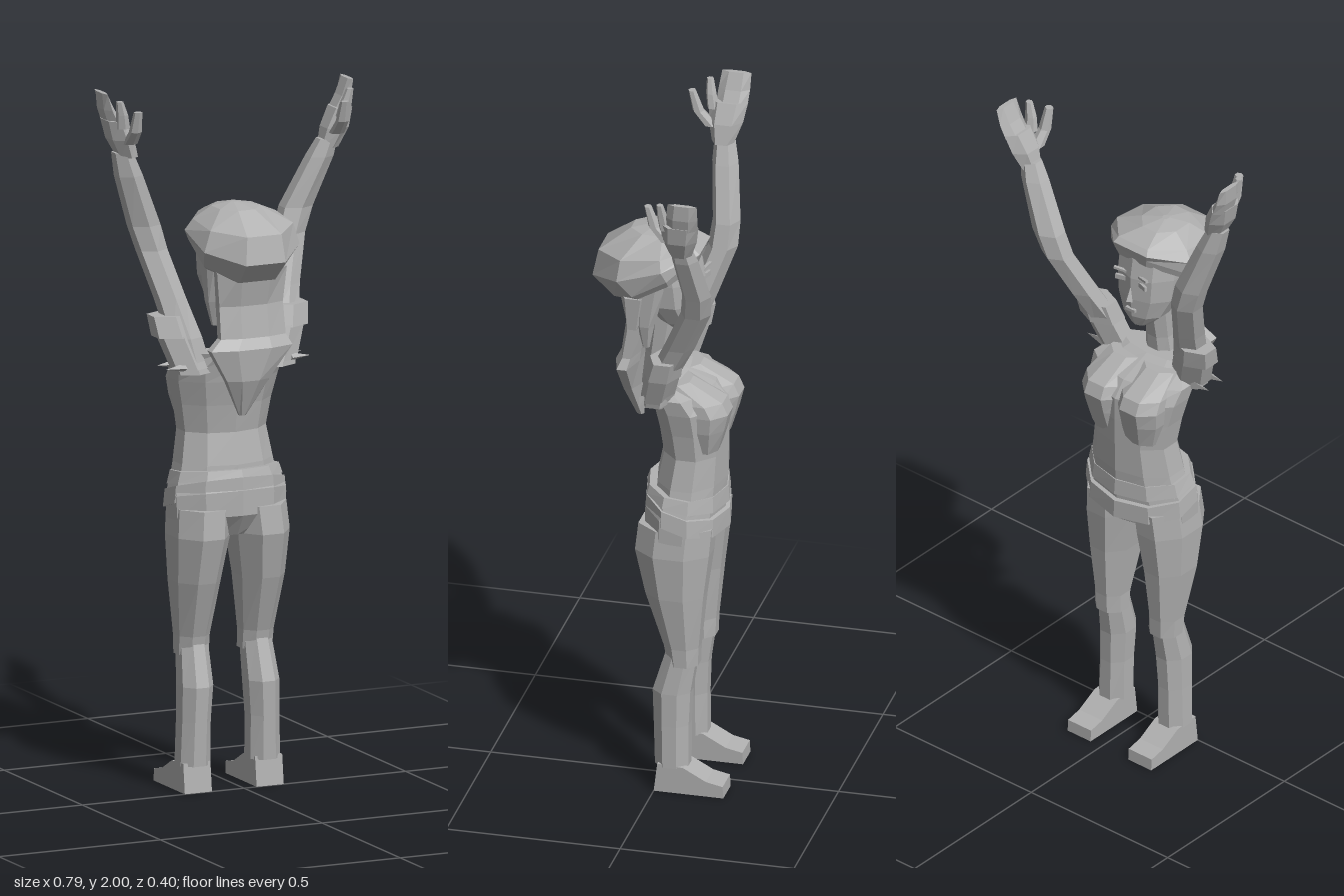
import * as THREE from 'three';

const grey = new THREE.MeshStandardMaterial({ color: 0xb0b0b0, flatShading: true, side: THREE.DoubleSide });
grey.name = 'clay grey';

// Closed faceted loft. Each ring: [x, y, z, rx, rz, slope], listed bottom to top;
// slope tilts the ring so that y changes along z. Radii are the true half extents (n is even).
function loftGeometry(rings, n = 8) {
  const pos = [];
  const kx = 1 / Math.cos(Math.PI / n), kz = n % 4 ? 1 : kx;
  const pt = (r, i) => {
    const a = ((i + 0.5) / n) * Math.PI * 2;
    const dz = Math.sin(a) * r[4] * kz;
    return [r[0] + Math.cos(a) * r[3] * kx, r[1] + dz * (r[5] || 0), r[2] + dz];
  };
  for (let k = 0; k < rings.length - 1; k++) {
    for (let i = 0; i < n; i++) {
      const a = pt(rings[k], i), b = pt(rings[k], i + 1);
      const c = pt(rings[k + 1], i), d = pt(rings[k + 1], i + 1);
      pos.push(...a, ...c, ...b, ...b, ...c, ...d);
    }
  }
  const lo = rings[0], hi = rings[rings.length - 1];
  for (let i = 0; i < n; i++) {
    pos.push(...lo.slice(0, 3), ...pt(lo, i), ...pt(lo, i + 1));
    pos.push(...hi.slice(0, 3), ...pt(hi, i + 1), ...pt(hi, i));
  }
  const g = new THREE.BufferGeometry();
  g.setAttribute('position', new THREE.Float32BufferAttribute(pos, 3));
  g.computeVertexNormals();
  return g;
}

export function createModel() {
  const model = new THREE.Group();
  const CX = -0.03; // body centre line
  const add = (name, geo, x = 0, y = 0, z = 0) => {
    const m = new THREE.Mesh(geo, grey);
    m.name = name;
    m.position.set(x, y, z);
    model.add(m);
    return m;
  };
  const loft = (name, rings, n) => add(name, loftGeometry(rings, n));

  // Torso, with narrow waist and sloping shoulders
  loft('torso', [
    [CX, 0.86, -0.07, 0.155, 0.1],
    [CX, 0.93, -0.075, 0.14, 0.1],
    [CX, 1.02, -0.085, 0.125, 0.092],
    [CX, 1.1, -0.08, 0.138, 0.098],
    [CX, 1.17, -0.072, 0.154, 0.105],
    [CX, 1.215, -0.05, 0.16, 0.09],
    [CX, 1.255, 0.005, 0.11, 0.045],
  ], 10);

  // Hips and pelvis
  loft('pelvis', [
    [CX, 0.73, -0.05, 0.075, 0.07],
    [CX, 0.775, -0.05, 0.168, 0.108, 0.15],
    [CX, 0.84, -0.055, 0.17, 0.113, 0.2],
    [CX, 0.89, -0.065, 0.155, 0.105, 0.2],
  ], 10);

  // Two slanted belts, lower at the belly
  loft('lowerBelt', [
    [CX, 0.815, -0.062, 0.173, 0.12, 0.32],
    [CX, 0.865, -0.062, 0.168, 0.118, 0.3],
  ], 10);
  loft('upperBelt', [
    [CX, 0.875, -0.062, 0.162, 0.118, 0.2],
    [CX, 0.91, -0.064, 0.152, 0.112, 0.1],
  ], 10);

  for (const s of [-1, 1]) {
    const side = s > 0 ? 'left' : 'right';
    const X = (d) => CX + s * d;

    // Bust, blending into chest
    loft(side + 'Bust', [
      [X(0.055), 1.04, -0.13, 0.055, 0.035], [X(0.062), 1.11, -0.13, 0.068, 0.056],
      [X(0.064), 1.16, -0.13, 0.072, 0.068], [X(0.064), 1.195, -0.11, 0.07, 0.072],
      [X(0.06), 1.245, -0.04, 0.055, 0.045],
    ]);

    // Trouser leg: shin with flared hem, knee fold, thigh
    loft(side + 'Shin', [
      [X(0.108), 0.075, -0.045, 0.046, 0.048],
      [X(0.106), 0.2, -0.043, 0.044, 0.05],
      [X(0.102), 0.3, -0.043, 0.047, 0.054],
      [X(0.098), 0.42, -0.07, 0.041, 0.045],
    ]);
    loft(side + 'Thigh', [
      [X(0.098), 0.385, -0.074, 0.046, 0.044],
      [X(0.099), 0.44, -0.07, 0.047, 0.05],
      [X(0.099), 0.6, -0.052, 0.066, 0.083],
      [X(0.092), 0.73, -0.045, 0.08, 0.106],
      [X(0.085), 0.81, -0.052, 0.08, 0.105],
    ]);

    // Wedge shoe, toe pointing to -z
    const sole = new THREE.Shape();
    [[0, 0], [0.2, 0], [0.198, 0.035], [0.15, 0.045], [0.085, 0.08], [0.01, 0.085]]
      .forEach(([a, b], i) => (i ? sole.lineTo(a, b) : sole.moveTo(a, b)));
    const shoe = new THREE.ExtrudeGeometry(sole, { depth: 0.084, bevelEnabled: false });
    shoe.translate(0, 0, -0.042).rotateY(Math.PI / 2);
    add(side + 'Shoe', shoe, X(0.111), 0, 0);

    // Raised arm; the two sides differ slightly in pose
    loft(side + 'Arm', s > 0 ? [
      [0.1, 1.2, -0.005, 0.05, 0.045], [0.13, 1.3, -0.03, 0.045, 0.042],
      [0.163, 1.41, -0.085, 0.04, 0.044], [0.208, 1.54, -0.143, 0.04, 0.043],
      [0.233, 1.61, -0.152, 0.043, 0.042], [0.298, 1.75, -0.135, 0.035, 0.038],
      [0.318, 1.8, -0.128, 0.027, 0.029],
    ] : [
      [-0.155, 1.2, -0.005, 0.05, 0.045], [-0.175, 1.3, -0.02, 0.045, 0.042],
      [-0.202, 1.41, -0.06, 0.04, 0.044], [-0.235, 1.54, -0.108, 0.04, 0.043],
      [-0.256, 1.61, -0.113, 0.043, 0.04], [-0.312, 1.76, -0.095, 0.036, 0.038],
      [-0.335, 1.83, -0.088, 0.027, 0.029],
    ], 6);

    // Short sleeve with turned-up cuff and pointed scraps
    const sx = s > 0 ? 0.118 : -0.178;
    loft(side + 'Sleeve', [
      [sx - s * 0.015, 1.215, -0.005, 0.052, 0.047],
      [sx + s * 0.018, 1.31, -0.03, 0.052, 0.05],
    ], 6);
    loft(side + 'Cuff', [
      [sx + s * 0.022, 1.305, -0.03, 0.06, 0.053],
      [sx + s * 0.034, 1.365, -0.045, 0.056, 0.048],
    ], 6);
    for (const z of [0.025, -0.035]) {
      const scrap = add(side + 'SleeveScrap', new THREE.ConeGeometry(0.014, 0.06, 3), sx + s * 0.045, 1.222, z);
      scrap.rotation.z = -s * Math.PI / 2;
    }

    // Hand: palm, joined fingers, forefinger, thumb
    const oy = s > 0 ? 0 : 0.04, oz = s > 0 ? 0 : 0.042;
    const hand = (name, rings) => loft(side + name,
      rings.map(([x, y, z, a, b]) => [s * x, y + oy, z + oz, a, b]), 6);
    hand('Palm', [
      [0.32, 1.775, -0.128, 0.026, 0.032], [0.342, 1.83, -0.13, 0.033, 0.05],
      [0.362, 1.885, -0.135, 0.025, 0.055],
    ]);
    hand('Fingers', [
      [0.36, 1.875, -0.143, 0.022, 0.045], [0.378, 1.915, -0.146, 0.016, 0.045],
      [0.39, 1.962, -0.15, 0.007, 0.042],
    ]);
    hand('Forefinger', [
      [0.35, 1.865, -0.092, 0.018, 0.017], [0.356, 1.905, -0.085, 0.015, 0.015],
      [0.366, 1.945, -0.08, 0.009, 0.01],
    ]);
    hand('Thumb', [
      [0.33, 1.82, -0.09, 0.019, 0.02], [0.33, 1.86, -0.055, 0.016, 0.017],
      [0.33, 1.92, -0.037, 0.011, 0.011],
    ]);

    // Hair lock beside the face
    loft(side + 'HairLock', [
      [X(0.08), 1.34, 0.04, 0.008, 0.01], [X(0.088), 1.41, 0.04, 0.017, 0.025],
      [X(0.097), 1.54, 0.03, 0.017, 0.05],
    ], 6);

    // Eye and brow plates
    const eye = add(side + 'Eye', new THREE.BoxGeometry(0.036, 0.014, 0.008), X(0.038), 1.525, -0.103);
    eye.rotation.y = s * 0.3;
    const brow = add(side + 'Brow', new THREE.BoxGeometry(0.044, 0.007, 0.009), X(0.039), 1.55, -0.103);
    brow.rotation.set(0, s * 0.3, s * 0.12);
  }

  // Neck, leaning back, and collar
  loft('neck', [
    [CX, 1.2, 0.03, 0.05, 0.038], [CX, 1.3, 0.02, 0.04, 0.038], [CX, 1.44, 0.0, 0.045, 0.045],
  ]);

  // Head with broad jaw
  loft('head', [
    [CX, 1.375, -0.055, 0.03, 0.035], [CX, 1.41, -0.04, 0.065, 0.064],
    [CX, 1.47, -0.018, 0.093, 0.092], [CX, 1.54, -0.01, 0.1, 0.1],
    [CX, 1.6, 0.0, 0.1, 0.1],
  ], 10);
  const nose = add('nose', new THREE.ConeGeometry(0.013, 0.045, 4), CX, 1.49, -0.112);
  nose.rotation.x = 0.15;
  add('mouth', new THREE.BoxGeometry(0.034, 0.009, 0.009), CX, 1.435, -0.108);

  // Hair falling behind the neck to a point on the back
  loft('backHair', [
    [-0.045, 1.085, 0.08, 0.01, 0.01], [-0.04, 1.19, 0.1, 0.065, 0.028],
    [-0.03, 1.28, 0.1, 0.125, 0.034], [-0.02, 1.31, 0.09, 0.1, 0.028],
    [-0.02, 1.4, 0.075, 0.098, 0.03], [-0.02, 1.5, 0.07, 0.108, 0.055],
  ]);

  // Soft cap tilted to the back
  loft('cap', [
    [-0.025, 1.53, 0.01, 0.118, 0.105, -0.57], [-0.025, 1.545, 0.018, 0.132, 0.12, -0.58],
    [-0.028, 1.585, 0.045, 0.147, 0.154, -0.32], [-0.025, 1.63, 0.045, 0.128, 0.138, -0.12],
    [-0.04, 1.672, 0.03, 0.062, 0.07], [-0.045, 1.684, 0.025, 0.01, 0.01],
  ]);
  return model;
}
